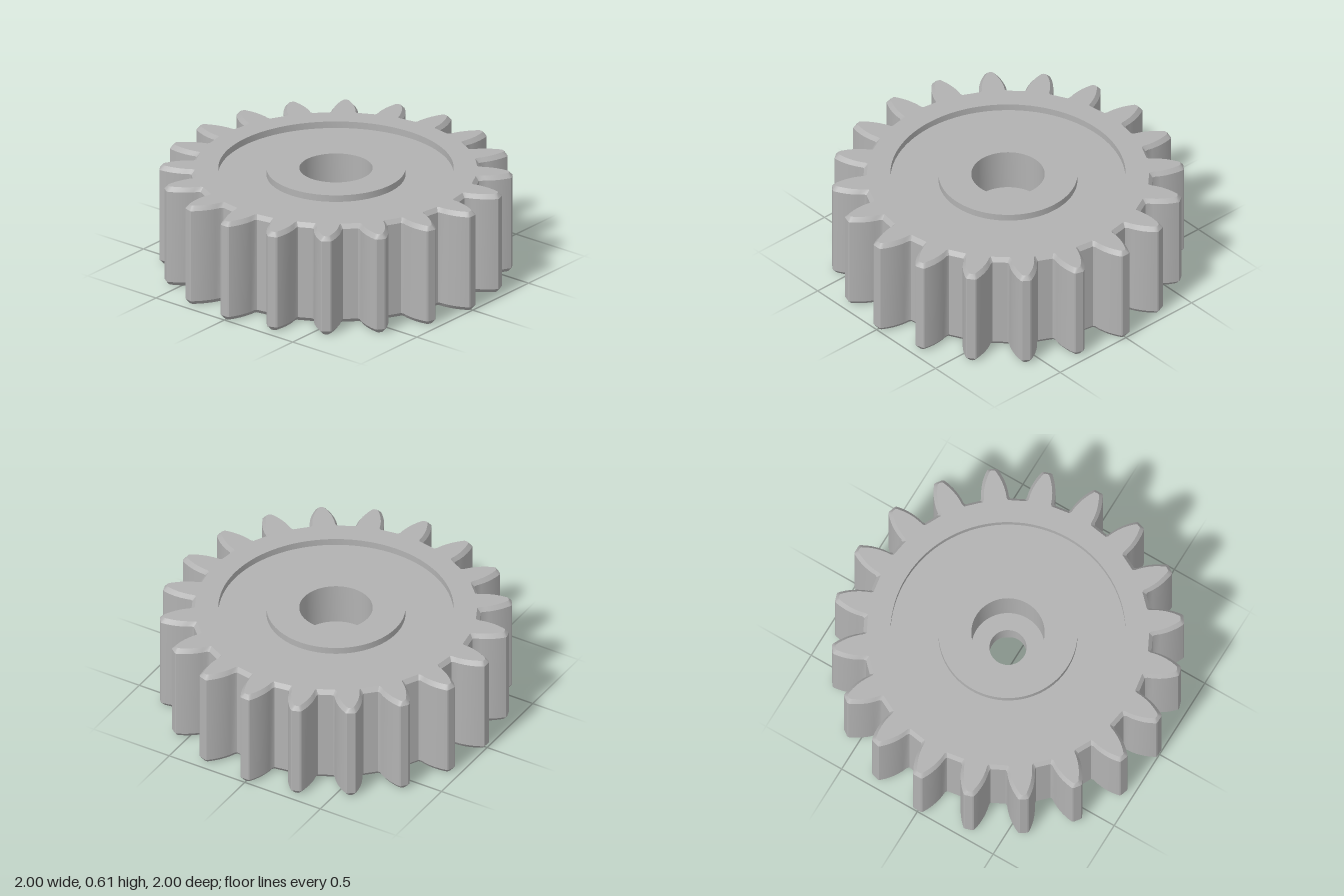
import * as THREE from 'three';
import { toCreasedNormals } from 'three/addons/utils/BufferGeometryUtils.js';

const TEETH = 20;
const HEIGHT = 0.605;
const BEVEL = 0.018;      // how far the tooth edges are drawn in
const BEVEL_H = 0.025;    // height of that bevel
const RIM_R = 0.667, HUB_R = 0.394, BORE_R = 0.208, BOTTOM_R = 0.196, PIN_R = 0.105;
const RECESS = 0.04;

// half of one tooth: [radius, half width], from root to tip
const HALF_TOOTH = [
  [0.815, 0.086], [0.828, 0.079], [0.86, 0.077], [0.895, 0.071],
  [0.93, 0.061], [0.96, 0.049], [0.982, 0.038], [0.996, 0.03], [1, 0.022],
];

// closed gear outline as [x, z], optionally drawn inwards
function outline(inset) {
  const points = [];
  const half = HALF_TOOTH.map(([r, w]) => [r - inset, w - inset * 0.8]);
  const tooth = [
    ...half.map(([r, w]) => [r, -w]),
    ...half.slice().reverse(),
  ];
  for (let i = 0; i < TEETH; i++) {
    const a = (i / TEETH) * Math.PI * 2;
    const s = Math.sin(a), c = Math.cos(a);
    for (const [r, w] of tooth) points.push([r * s + w * c, r * c - w * s]);
  }
  return points;
}

// toothed wall, lofted through bevelled levels
function toothWall() {
  const levels = [
    [0, BEVEL], [BEVEL_H, 0], [HEIGHT - BEVEL_H, 0], [HEIGHT, BEVEL],
  ];
  const positions = [], index = [];
  let n = 0;
  for (const [y, inset] of levels) {
    const ring = outline(inset);
    n = ring.length;
    for (const [x, z] of ring) positions.push(x, y, z);
  }
  for (let k = 0; k < levels.length - 1; k++) {
    for (let i = 0; i < n; i++) {
      const j = (i + 1) % n;
      const a = k * n + i, b = k * n + j;
      index.push(a, b, b + n, a, b + n, a + n);
    }
  }
  const geometry = new THREE.BufferGeometry();
  geometry.setAttribute('position', new THREE.Float32BufferAttribute(positions, 3));
  geometry.setIndex(index);
  return toCreasedNormals(geometry, 0.45);
}

// flat gear face with a round opening
function gearFace(holeRadius) {
  const shape = new THREE.Shape(outline(BEVEL).map(([x, z]) => new THREE.Vector2(x, -z)));
  const hole = new THREE.Path();
  hole.absarc(0, 0, holeRadius, 0, Math.PI * 2, true);
  shape.holes.push(hole);
  return new THREE.ShapeGeometry(shape, 48);
}

export function createModel() {
  const steel = new THREE.MeshStandardMaterial({ color: 0xb2b2b2 });
  steel.name = 'grey steel';

  const gear = new THREE.Group();
  gear.name = 'spurGear';
  const add = (name, geometry) => {
    const mesh = new THREE.Mesh(geometry, steel);
    mesh.name = name;
    gear.add(mesh);
    return mesh;
  };

  add('toothedWall', toothWall());
  add('topRim', gearFace(RIM_R).rotateX(-Math.PI / 2).translate(0, HEIGHT, 0));
  add('bottomFace', gearFace(BOTTOM_R).rotateX(Math.PI / 2));

  // recessed top, raised hub and stepped bore in one turned profile
  const profile = [
    [RIM_R, HEIGHT], [RIM_R, HEIGHT - RECESS],
    [HUB_R, HEIGHT - RECESS], [HUB_R, HEIGHT],
    [BORE_R, HEIGHT], [BORE_R, 0.36],
    [PIN_R, 0.36], [PIN_R, 0.25],
    [0.182, 0.25], [0.182, 0.03], [BOTTOM_R, 0],
  ].map(([r, y]) => new THREE.Vector2(r, y));
  add('recessHubAndBore', toCreasedNormals(new THREE.LatheGeometry(profile, 96), 0.4));

  return gear;
}
